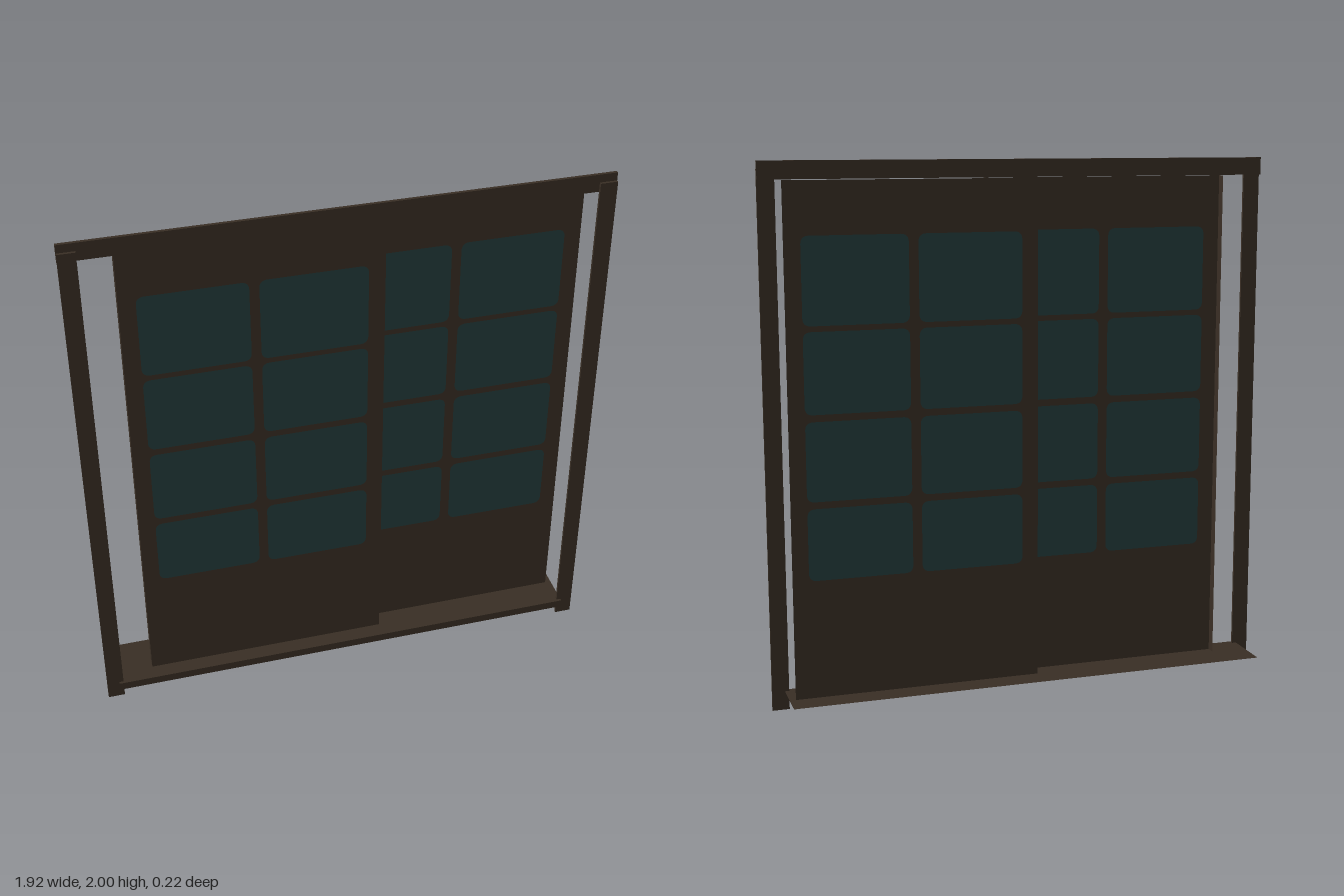
import * as THREE from 'three';

const wood = new THREE.MeshStandardMaterial({ color: 0x3a2f25, side: THREE.DoubleSide });
wood.name = 'dark brown frame';
const glass = new THREE.MeshStandardMaterial({ color: 0x253e3e, side: THREE.DoubleSide });
glass.name = 'teal glass';

// Pane columns (from the door's edge) and rows (from the floor)
const columns = [[0.06, 0.445], [0.48, 0.865]];
const rows = [[0.51, 0.775], [0.8, 1.09], [1.115, 1.41], [1.43, 1.745]];
const doorWidth = 0.925, doorBottom = 0.04, doorTop = 1.935;

function roundedRect(shape, x0, x1, y0, y1, r) {
  shape.moveTo(x0 + r, y0);
  shape.lineTo(x1 - r, y0);
  shape.quadraticCurveTo(x1, y0, x1, y0 + r);
  shape.lineTo(x1, y1 - r);
  shape.quadraticCurveTo(x1, y1, x1 - r, y1);
  shape.lineTo(x0 + r, y1);
  shape.quadraticCurveTo(x0, y1, x0, y1 - r);
  shape.lineTo(x0, y0 + r);
  shape.quadraticCurveTo(x0, y0, x0 + r, y0);
  return shape;
}

function addMesh(parent, name, geometry, material, x = 0, y = 0, z = 0) {
  const mesh = new THREE.Mesh(geometry, material);
  mesh.name = name;
  mesh.position.set(x, y, z);
  parent.add(mesh);
  return mesh;
}

// Sheet door with pane openings filled by glass
function makeDoor(name, x, z) {
  const door = new THREE.Group();
  door.name = name;
  door.position.set(x, 0, z);
  const sheet = new THREE.Shape([
    new THREE.Vector2(0, doorBottom), new THREE.Vector2(doorWidth, doorBottom),
    new THREE.Vector2(doorWidth, doorTop), new THREE.Vector2(0, doorTop),
  ]);
  for (const [x0, x1] of columns) {
    for (const [y0, y1] of rows) {
      sheet.holes.push(roundedRect(new THREE.Path(), x0, x1, y0, y1, 0.03));
      const pane = roundedRect(new THREE.Shape(), x0, x1, y0, y1, 0.03);
      addMesh(door, 'pane', new THREE.ShapeGeometry(pane), glass);
    }
  }
  addMesh(door, 'doorSheet', new THREE.ShapeGeometry(sheet), wood);
  return door;
}

export function createModel() {
  const model = new THREE.Group();
  model.name = 'slidingDoors';

  // Sliding doors; the front one has turned-back side edges
  const front = makeDoor('frontDoor', -0.775, 0.045);
  const doorHeight = doorTop - doorBottom;
  for (const x of [0, doorWidth]) {
    const edge = addMesh(front, 'doorEdge', new THREE.PlaneGeometry(0.035, doorHeight), wood,
      x, doorBottom + doorHeight / 2, -0.0175);
    edge.rotation.y = x > 0 ? Math.PI / 2 : -Math.PI / 2;
  }
  model.add(front, makeDoor('backDoor', -0.035, -0.018));

  // Outer frame
  for (const side of [-1, 1]) {
    addMesh(model, side > 0 ? 'leftPost' : 'rightPost',
      new THREE.BoxGeometry(0.063, 1.97, 0.01), wood, side * 0.928, 0.985, 0.09);
  }
  addMesh(model, 'lintel', new THREE.BoxGeometry(1.92, 0.065, 0.012), wood, 0, 1.9675, 0.079);

  // Sill with a front lip
  addMesh(model, 'sill', new THREE.PlaneGeometry(1.826, 0.216), wood, 0, 0.07, -0.003)
    .rotation.x = -Math.PI / 2;
  addMesh(model, 'sillLip', new THREE.PlaneGeometry(1.826, 0.032), wood, 0, 0.054, 0.105);

  return model;
}
